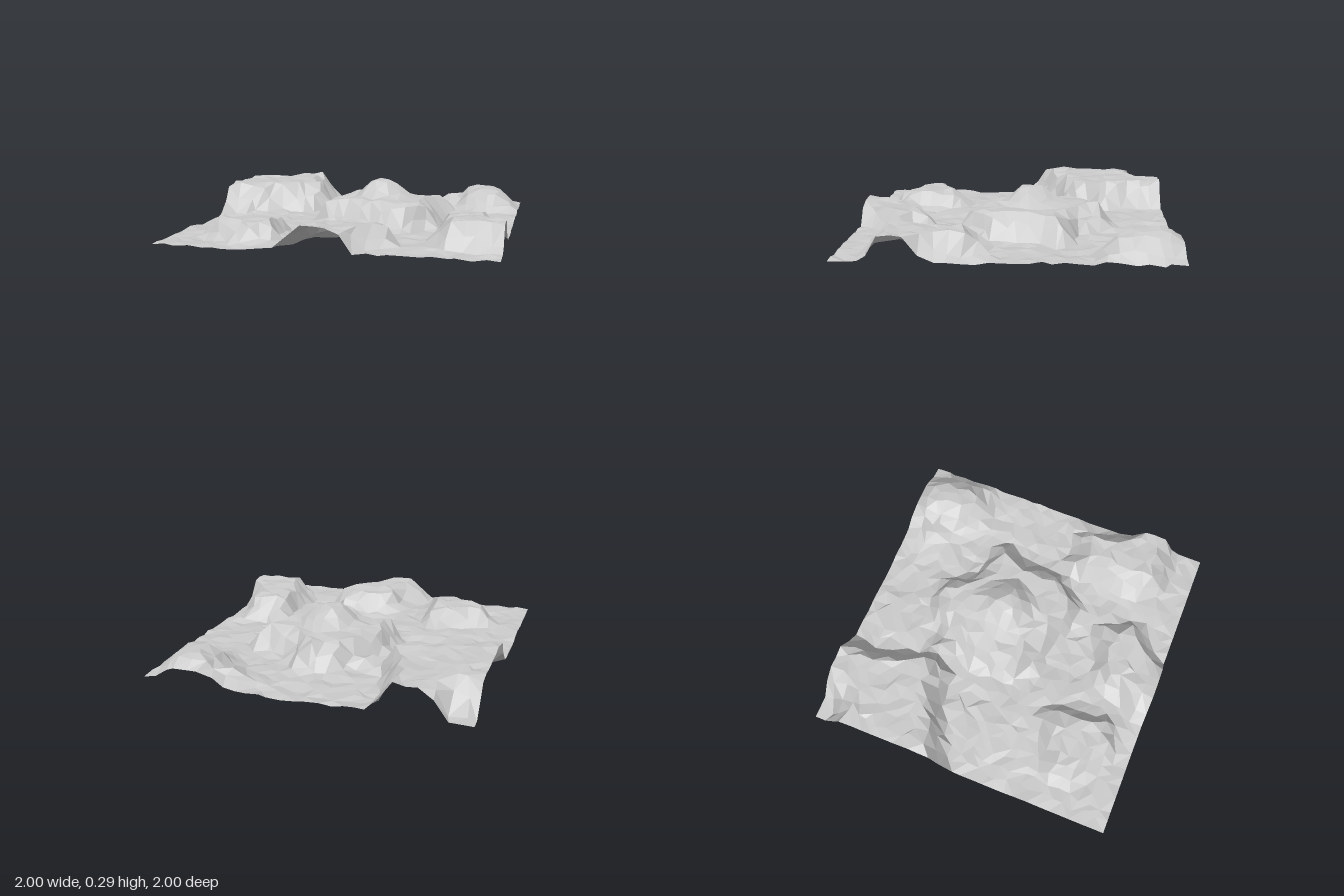
import * as THREE from 'three';

// Seeded value in -1..1
let seed = 7;
const rand = () => {
  seed = (seed * 16807) % 2147483647;
  return (seed / 2147483647) * 2 - 1;
};

// A plateau: height above the floor, cliff width, outline of the cliff foot as [x, z]
const plateau = (height, cliff, foot) => ({ height, cliff, foot });

const backLeft = plateau(0.185, 0.12, [[-1.3, 0.08], [-0.6, -0.25], [-0.4, -0.28], [-0.23, -0.45],
  [-0.34, -0.55], [-0.42, -0.8], [-0.4, -1.3], [-0.8, -1.2], [-0.87, -0.92], [-1.2, -0.87]]);
const saddle = plateau(0.1, 0.1, [[-0.42, -0.5], [-0.22, -0.55], [-0.12, -0.4], [-0.3, -0.3]]);
const centre = plateau(0.155, 0.11, [[-0.2, -0.4], [-0.05, -0.63], [0.22, -0.65], [0.3, -0.44], [0.66, -0.36],
  [0.53, -0.1], [0.56, 0.12], [0.35, 0.39], [0, 0.27], [-0.3, 0.18], [-0.3, -0.2]]);
const backRight = plateau(0.14, 0.22, [[0.42, -1.12], [0.9, -1.12], [1.02, -0.92], [1.06, -0.5], [0.72, -0.44],
  [0.52, -0.62]]);
const frontRight = plateau(0.15, 0.12, [[0.52, 0.12], [0.76, 0.13], [0.92, 0.03], [1, 0.42], [1.3, 0.79],
  [0.68, 0.86], [0.57, 0.74]]);
const frontLeft = plateau(0.115, 0.12, [[-0.86, 0.53], [-0.8, 0.74], [-0.5, 0.94], [-0.25, 0.85], [-0.33, 0.4],
  [-0.45, 0.32]]);
const front = plateau(0.13, 0.1, [[-0.14, 0.6], [0.3, 0.45], [0.43, 0.76], [0.22, 0.93], [0.1, 1.2], [-0.26, 1.3],
  [-0.24, 0.85], [-0.14, 0.8]]);
const backKnoll = plateau(0.08, 0.1, [[0.3, -0.95], [0.62, -0.95], [0.58, -0.72], [0.42, -0.75]]);
const plateaus = [backLeft, saddle, centre, backRight, frontRight, frontLeft, front, backKnoll];

// Distance to an outline, positive inside
function insideDistance(x, z, pts) {
  let inside = false, best = Infinity;
  pts.forEach(([ax, az], i) => {
    const [bx, bz] = pts[(i + 1) % pts.length];
    if ((az > z) !== (bz > z) && x < ax + ((z - az) * (bx - ax)) / (bz - az)) inside = !inside;
    const dx = bx - ax, dz = bz - az;
    const t = THREE.MathUtils.clamp(((x - ax) * dx + (z - az) * dz) / (dx * dx + dz * dz), 0, 1);
    best = Math.min(best, Math.hypot(x - ax - t * dx, z - az - t * dz));
  });
  return inside ? best : -best;
}

function heightAt(x, z) {
  let rise = 0;
  for (const { height, cliff, foot } of plateaus) {
    rise = Math.max(rise, height * THREE.MathUtils.smoothstep(insideDistance(x, z, foot), 0, cliff));
  }
  // Central peak with a small flat top
  const r = Math.hypot(x - 0.13, z + 0.11);
  const peak = 0.115 * THREE.MathUtils.clamp((0.19 - r) / 0.12, 0, 1);
  const roll = 0.01 * Math.sin(5 * x + 2 * z) * Math.cos(6 * z - 2 * x);
  return 0.03 + rise + peak + roll;
}

export function createModel() {
  const group = new THREE.Group();
  group.name = 'rockyGround';
  const n = 27, cell = 2 / n;
  const grid = new THREE.PlaneGeometry(2, 2, n, n).rotateX(-Math.PI / 2);
  const p = grid.attributes.position;

  // Scatter the inner points, then lift every point to the ground height
  for (let i = 0; i < p.count; i++) {
    let x = p.getX(i), z = p.getZ(i);
    const jx = rand() * cell * 0.32, jz = rand() * cell * 0.32;
    if (Math.abs(x) < 0.999) x += jx;
    if (Math.abs(z) < 0.999) z += jz;
    const y = heightAt(x, z) + rand() * 0.009;
    p.setXYZ(i, x, THREE.MathUtils.clamp(y, 0.005, 0.3), z);
  }

  // Fold each cell along its flatter diagonal
  const index = [];
  const gap = (i, j) => Math.abs(p.getY(i) - p.getY(j));
  for (let r = 0; r < n; r++) {
    for (let c = 0; c < n; c++) {
      const a = r * (n + 1) + c, b = a + 1, d = a + n + 1, e = d + 1;
      if (gap(a, e) < gap(b, d)) index.push(a, d, e, a, e, b);
      else index.push(a, d, b, b, d, e);
    }
  }
  grid.setIndex(index);
  const geometry = grid.toNonIndexed();
  geometry.computeVertexNormals();

  const terrain = new THREE.Mesh(geometry, new THREE.MeshStandardMaterial({
    color: 0xcccccc, flatShading: true, side: THREE.DoubleSide,
  }));
  terrain.name = 'terrain';
  group.add(terrain);
  return group;
}
